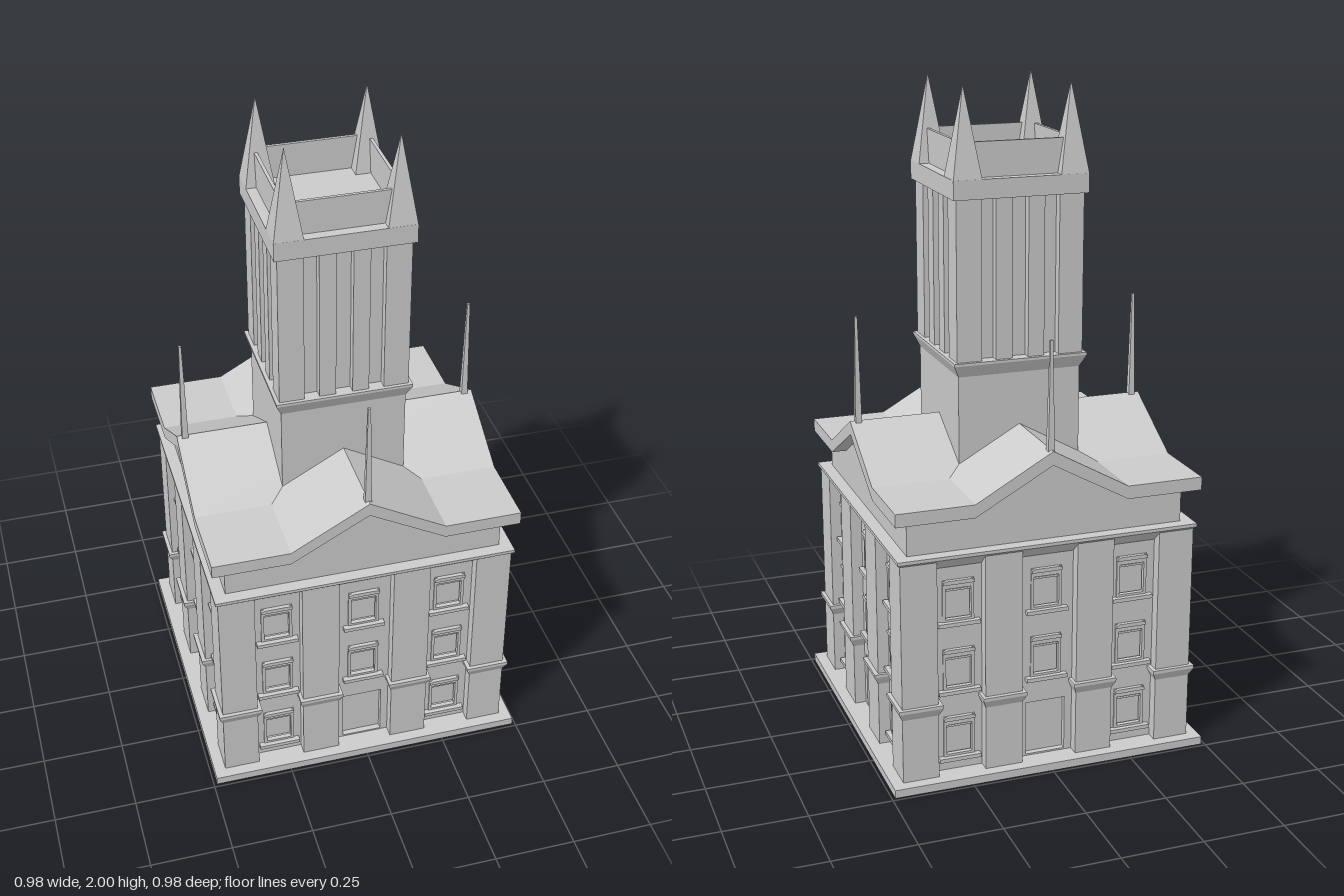
import * as THREE from 'three';

const stone = new THREE.MeshStandardMaterial({ color: 0xcccccc, flatShading: true });

function add(parent, name, geometry, x = 0, y = 0, z = 0) {
  const mesh = new THREE.Mesh(geometry, stone);
  mesh.name = name;
  mesh.position.set(x, y, z);
  parent.add(mesh);
  return mesh;
}

// Box from y0 to y1 whose half-sizes change from bottom [x, z] to top [x, z]
function taper(y0, y1, bottom, top = bottom) {
  const g = new THREE.BoxGeometry(2, 2, 2);
  const p = g.attributes.position;
  for (let i = 0; i < p.count; i++) {
    const up = p.getY(i) > 0;
    const s = up ? top : bottom;
    p.setXYZ(i, p.getX(i) * s[0], up ? y1 : y0, p.getZ(i) * s[1]);
  }
  g.computeVertexNormals();
  return g;
}
const square = (y0, y1, b, t = b) => taper(y0, y1, [b, b], [t, t]);

// Outline in x/y extruded along z, centred
function prism(points, depth, holes = []) {
  const shape = new THREE.Shape(points.map(p => new THREE.Vector2(...p)));
  for (const h of holes) shape.holes.push(new THREE.Path(h.map(p => new THREE.Vector2(...p))));
  const g = new THREE.ExtrudeGeometry(shape, { depth, bevelEnabled: false });
  return g.translate(0, 0, -depth / 2);
}
const rect = (x0, x1, y0, y1) => [[x0, y0], [x1, y0], [x1, y1], [x0, y1]];

const WALL = 0.42;
const ROWS = [0.068, 0.284, 0.5];

function makeWindow(x, y) {
  const win = new THREE.Group();
  win.name = 'window';
  win.position.set(x, y, WALL);
  const w = 0.048, h = 0.13;
  add(win, 'windowFrame', prism(rect(-w, w, 0, h), 0.014, [rect(-w + 0.009, w - 0.009, 0.008, h - 0.027)]), 0, 0, -0.003);
  add(win, 'windowHood', prism([[-w, h - 0.012], [w, h - 0.012], [w, h - 0.004], [w - 0.01, h], [-w + 0.01, h], [-w, h - 0.004]], 0.012), 0, 0, 0.006);
  add(win, 'windowRail', taper(0.094, 0.1, [w - 0.008, 0.007]), 0, 0, -0.008);
  add(win, 'windowSill', taper(-0.011, 0.001, [0.064, 0.012]), 0, 0, 0.006);
  return win;
}

function makeFacade() {
  const side = new THREE.Group();
  side.name = 'facade';
  // Wall with window and door openings
  const spots = [];
  for (const x of [-0.272, 0, 0.272])
    ROWS.forEach((y, i) => { if (x !== 0 || i > 0) spots.push([x, y]); });
  const holes = spots.map(([x, y]) => rect(x - 0.044, x + 0.044, y + 0.004, y + 0.122));
  holes.push(rect(-0.062, 0.062, 0.03, 0.2));
  add(side, 'wall', prism(rect(-WALL, WALL, 0.02, 0.69), 0.02, holes), 0, 0, WALL - 0.01);
  for (const [x, y] of spots) side.add(makeWindow(x, y));
  // Middle pilasters and their ledges
  for (const s of [-1, 1]) {
    const x = s * 0.1425;
    add(side, 'pilaster', taper(0.02, 0.705, [0.0575, 0.035]), x, 0, WALL);
    add(side, 'pilasterLedge', taper(0.225, 0.25, [0.0575, 0.035], [0.0675, 0.048]), x, 0, WALL);
    add(side, 'pilasterLedgeTop', taper(0.25, 0.26, [0.0675, 0.048]), x, 0, WALL);
  }
  // Corner pilaster, one per side
  add(side, 'cornerPilaster', square(0.02, 0.705, 0.055), 0.4, 0, 0.4);
  add(side, 'cornerLedge', square(0.225, 0.25, 0.055, 0.067), 0.4, 0, 0.4);
  add(side, 'cornerLedgeTop', square(0.25, 0.26, 0.067), 0.4, 0, 0.4);
  // Flat roof corner and ridge spike
  add(side, 'roofCorner', square(0.828, 0.868, 0.1175), 0.3525, 0, 0.3525);
  add(side, 'ridgeSpike', square(0.98, 1.32, 0.01, 0.004), 0, 0, 0.445);
  return side;
}

// One side of the tower: slim columns, corner post, parapet and pinnacle
function makeTowerSide() {
  const side = new THREE.Group();
  side.name = 'towerSide';
  for (const x of [-0.05, 0.05])
    add(side, 'slimColumn', taper(1.2, 1.69, [0.025, 0.02]), x, 0, 0.175);
  add(side, 'cornerPost', square(1.2, 1.69, 0.038), 0.158, 0, 0.158);
  add(side, 'parapet', taper(1.73, 1.842, [0.14, 0.005]), 0, 0, 0.171);
  add(side, 'pinnacle', square(1.738, 2, 0.0435, 0.0005), 0.1635, 0, 0.1635);
  return side;
}

export function createModel() {
  const model = new THREE.Group();
  model.name = 'clockTowerBuilding';

  add(model, 'plinth', square(0, 0.025, 0.49));
  add(model, 'innerCore', square(0.02, 0.7, 0.402));
  add(model, 'cornice', square(0.67, 0.71, WALL, 0.463));
  add(model, 'corniceTop', square(0.71, 0.72, 0.463));
  add(model, 'frieze', square(0.715, 0.845, 0.425));

  // Crossing gable roofs
  for (const turn of [0, Math.PI / 2]) {
    const roof = new THREE.Group();
    roof.name = 'gableRoof';
    roof.rotation.y = turn;
    add(roof, 'gableWall', prism([[-0.235, 0.845], [0.235, 0.845], [0, 0.98]], 0.85));
    add(roof, 'gableSlab', prism([[-0.235, 0.828], [0, 0.958], [0.235, 0.828], [0.235, 0.868], [0, 1], [-0.235, 0.868]], 0.94));
    model.add(roof);
  }

  // Tower
  add(model, 'towerBase', square(0.85, 1.17, 0.19));
  add(model, 'towerFlare', square(1.16, 1.197, 0.19, 0.207));
  add(model, 'towerLedge', square(1.197, 1.205, 0.207));
  add(model, 'towerCore', square(1.2, 1.69, 0.168));
  add(model, 'towerCap', square(1.683, 1.74, 0.207));

  for (let i = 0; i < 4; i++) {
    for (const side of [makeFacade(), makeTowerSide()]) {
      side.rotation.y = i * Math.PI / 2;
      model.add(side);
    }
  }
  return model;
}
